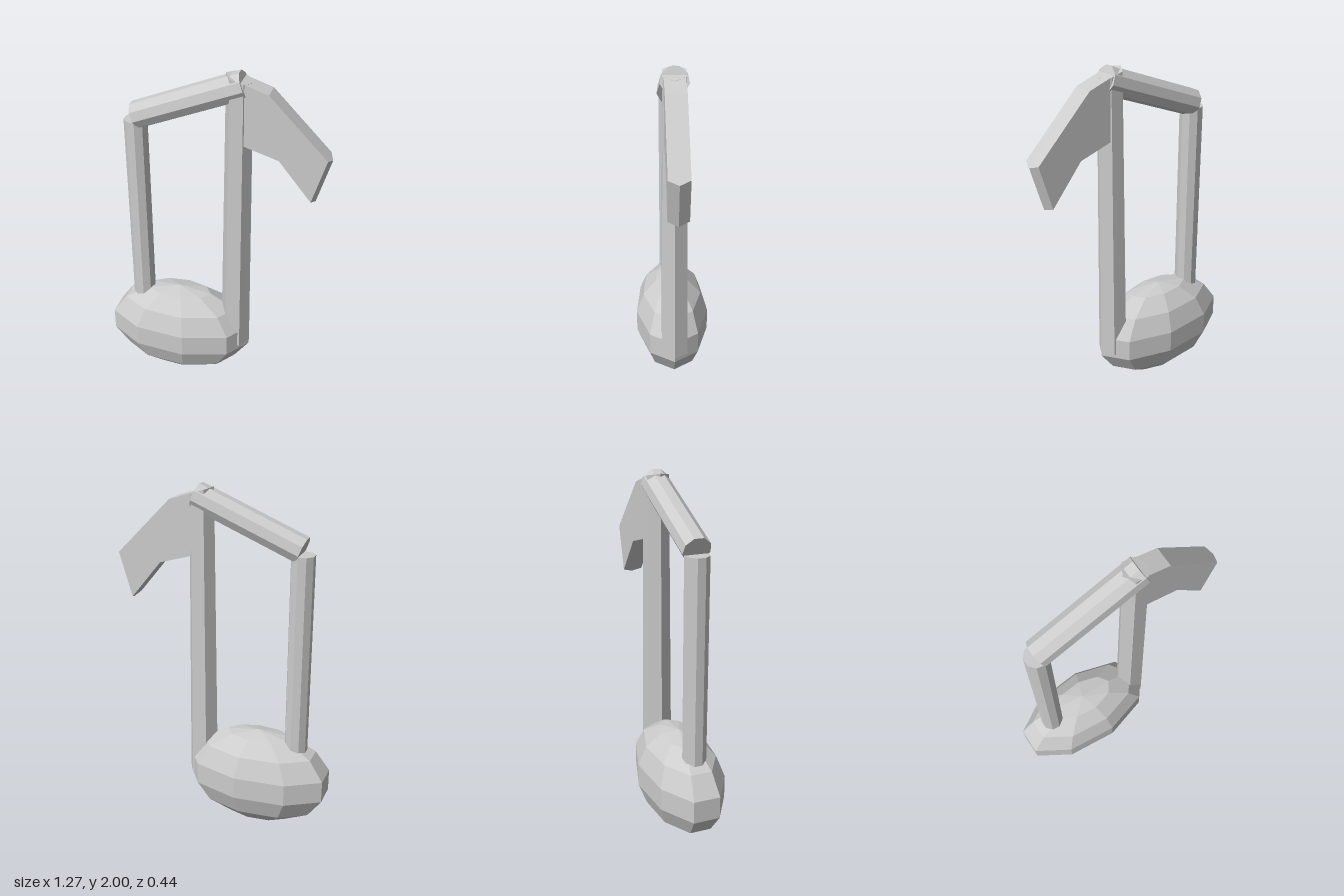
import * as THREE from 'three';

export function createModel() {
  const group = new THREE.Group();
  group.name = 'musicNote';
  const grey = new THREE.MeshStandardMaterial({ color: 0xcccccc, flatShading: true });
  grey.name = 'light grey';

  const add = (name, geometry, x = 0, y = 0) => {
    const mesh = new THREE.Mesh(geometry, grey);
    mesh.name = name;
    mesh.position.set(x, y, 0);
    group.add(mesh);
    return mesh;
  };
  // Prism with one corner edge facing local +x
  const prism = (top, bottom, height, sides) =>
    new THREE.CylinderGeometry(top, bottom, height, sides, 1, false, Math.PI / 2);

  // Faceted oval note head
  const head = new THREE.SphereGeometry(1, 9, 7, Math.PI);
  head.scale(0.449, 0.293, 0.229);
  add('noteHead', head, -0.23, 0.293);

  // Short stem
  add('shortStem', prism(0.067, 0.067, 1.267, 9), -0.455, 1.033);

  // Long tapered hexagonal stem with a sloping top
  const stem = prism(0.072, 0.088, 1.71, 6);
  const p = stem.attributes.position;
  for (let i = 0; i < p.count; i++) {
    if (p.getY(i) > 0) p.setY(i, p.getY(i) - p.getX(i) * 0.3);
  }
  add('longStem', stem, 0.122, 1.11);

  // Slanted beam joining the stems
  const beam = add('beam', prism(0.078, 0.078, 0.652, 9), -0.15, 1.81);
  beam.rotation.z = -Math.atan2(0.605, 0.244);

  // Bent flag: [top x, top y, bottom x, bottom y, how far the centre juts out]
  const stations = [
    [0.14, 1.96, 0.14, 1.615, 0],
    [0.29, 1.91, 0.355, 1.55, 0],
    [0.612, 1.583, 0.537, 1.327, 0.019],
  ];
  const w = 0.057;
  const points = [], index = [];
  for (const [tx, ty, bx, by, d] of stations) {
    points.push(tx, ty, w, tx + d, ty - d, 0, tx, ty, -w);
    points.push(bx, by, -w, bx + d, by - d, 0, bx, by, w);
  }
  for (let i = 0; i < 2; i++) {
    for (let j = 0; j < 6; j++) {
      const a = i * 6 + j, b = i * 6 + (j + 1) % 6;
      index.push(a, a + 6, b, b, a + 6, b + 6);
    }
  }
  // Pointed end of the flag
  index.push(12, 17, 16, 12, 16, 13, 13, 16, 15, 13, 15, 14);
  const indexed = new THREE.BufferGeometry();
  indexed.setAttribute('position', new THREE.Float32BufferAttribute(points, 3));
  indexed.setIndex(index);
  const flag = indexed.toNonIndexed();
  flag.computeVertexNormals();
  add('flag', flag);

  return group;
}
